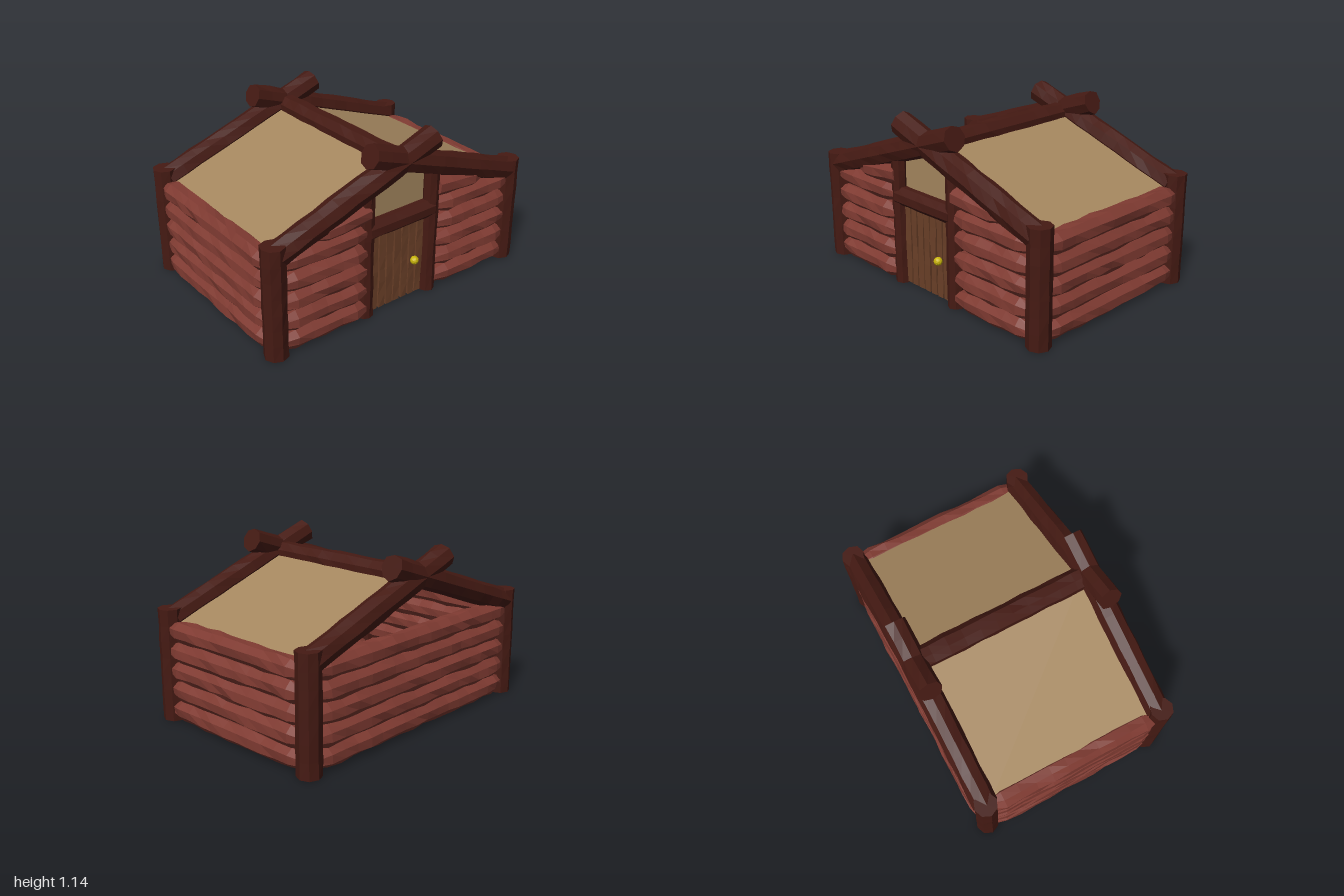
import * as THREE from 'three';

const mat = (color, side = THREE.FrontSide) =>
  new THREE.MeshStandardMaterial({ color, flatShading: true, roughness: 0.9, side });

// Repeatable noise in 0..1
const hash = (a, b, c) => {
  const s = Math.sin(a * 12.9898 + b * 78.233 + c * 37.719) * 43758.5453;
  return s - Math.floor(s);
};

export function createModel() {
  const model = new THREE.Group();
  model.name = 'logCabin';
  const red = mat(0x7e3a31), dark = mat(0x451a13), plankMat = mat(0x6b4028);
  const gapMat = mat(0x24120b), gold = mat(0xc8b40a);
  const cloth = mat(0xa5875f, THREE.DoubleSide);
  let seed = 0;

  // Eight-sided hewn log from a to b; taper0 and taper1 narrow its ends
  function log(name, a, b, r, material, { rough = 0.1, taper0 = 1, taper1 = 1, turn = 0 } = {}) {
    const start = new THREE.Vector3(...a), end = new THREE.Vector3(...b);
    const dir = end.clone().sub(start), length = dir.length();
    const rows = Math.max(4, Math.round(length / 0.11));
    const geo = new THREE.CylinderGeometry(r, r, length, 8, rows);
    const p = geo.attributes.position;
    seed++;
    for (let i = 0; i < p.count; i++) {
      const x = p.getX(i), z = p.getZ(i);
      const row = Math.round((p.getY(i) / length + 0.5) * rows);
      const side = (Math.round(Math.atan2(z, x) / (Math.PI / 4)) + 8) % 8;
      let k = 1 + rough * (0.3 - hash(side, row, seed));
      if (row === 0) k *= taper0;
      if (row === rows) k *= taper1;
      p.setXYZ(i, x * k, p.getY(i), z * k);
    }
    geo.rotateY(turn);
    geo.computeVertexNormals();
    const mesh = new THREE.Mesh(geo, material);
    mesh.name = name;
    mesh.position.copy(start).add(end).multiplyScalar(0.5);
    mesh.quaternion.setFromUnitVectors(new THREE.Vector3(0, 1, 0), dir.normalize());
    model.add(mesh);
  }

  const flat = Math.PI / 8;
  const wallOpts = { rough: 0.2, taper0: 0.6, taper1: 0.6, turn: flat };

  // Stacked wall logs on all four sides, with a door gap on the +x side
  for (let i = 0; i < 5; i++) {
    const y = 0.076 + i * 0.13;
    for (const s of [-1, 1]) {
      log('eaveWallLog', [-0.61, y, s * 0.919], [0.61, y, s * 0.919], 0.073, red, wallOpts);
      log('doorWallLog', [0.612, y, s * 0.27], [0.612, y, s * 0.91], 0.073, red, wallOpts);
    }
    log('backWallLog', [-0.612, y, -0.91], [-0.612, y, 0.91], 0.073, red, wallOpts);
  }
  for (const s of [-1, 1]) {
    log('gableLog', [0.612, 0.725, s * 0.27], [0.612, 0.69, s * 0.68], 0.07, red,
      { rough: 0.15, taper1: 0.4, turn: flat });
  }

  // Corner posts
  for (const sx of [-1, 1]) for (const sz of [-1, 1]) {
    log('cornerPost', [sx * 0.615, 0, sz * 0.925], [sx * 0.615, 0.73, sz * 0.925], 0.076, dark, { rough: 0.07 });
  }

  // Crossed rafters at each end and the ridge log
  for (const sx of [-1, 1]) for (const sz of [-1, 1]) {
    log('rafter', [sx * 0.61, 0.655, sz * 0.91], [sx * 0.61, 1.062, sz * -0.245], 0.08, dark, { rough: 0.1 });
  }
  log('ridgeLog', [-0.6, 0.95, 0], [0.6, 0.95, 0], 0.08, dark, { rough: 0.1, turn: flat });

  // Roof sheets
  for (const turn of [0, Math.PI]) {
    const half = new THREE.Group();
    half.name = 'roofSide';
    const sheet = new THREE.Mesh(new THREE.PlaneGeometry(1.12, Math.hypot(0.9, 0.315)), cloth);
    sheet.name = 'roofSheet';
    sheet.rotation.x = -(Math.PI / 2 - Math.atan2(0.315, 0.9));
    sheet.position.set(0, 0.8075, 0.45);
    half.add(sheet);
    half.rotation.y = turn;
    model.add(half);
  }

  // Door frame
  log('doorPost', [0.615, 0, 0.272], [0.615, 0.87, 0.272], 0.052, dark);
  log('doorPost', [0.615, 0, -0.24], [0.615, 0.88, -0.24], 0.054, dark);
  log('doorLintel', [0.612, 0.592, -0.24], [0.612, 0.592, 0.27], 0.066, dark, { turn: flat });

  // Door: rough planks over a dark backing board
  const door = new THREE.Group();
  door.name = 'door';
  const backing = new THREE.Mesh(new THREE.BoxGeometry(0.02, 0.54, 0.43), gapMat);
  backing.name = 'doorBacking';
  backing.position.set(0.59, 0.28, 0.02);
  door.add(backing);
  const planks = 7, step = 0.42 / planks;
  for (let n = 0; n < planks; n++) {
    const geo = new THREE.BoxGeometry(0.045, 0.535, step * 0.97, 1, 6, 1);
    const p = geo.attributes.position;
    for (let i = 0; i < p.count; i++) {
      const row = Math.round((p.getY(i) / 0.535 + 0.5) * 6);
      const edge = Math.sign(p.getZ(i));
      p.setZ(i, p.getZ(i) * (1 - 0.3 * hash(row, edge, n)));
      p.setX(i, p.getX(i) * (1 - 0.2 * hash(row, edge + 5, n)));
    }
    geo.computeVertexNormals();
    const plank = new THREE.Mesh(geo, plankMat);
    plank.name = 'doorPlank';
    plank.position.set(0.6, 0.277, -0.19 + step * (n + 0.5));
    door.add(plank);
  }
  const knob = new THREE.Mesh(new THREE.IcosahedronGeometry(0.028, 1), gold);
  knob.name = 'doorKnob';
  knob.position.set(0.64, 0.262, -0.107);
  door.add(knob);
  model.add(door);

  // Gable pane above the door
  const outline = new THREE.Shape([
    [-0.22, 0.62], [0.25, 0.62], [0.25, 0.84], [0, 0.93], [-0.22, 0.85],
  ].map(([z, y]) => new THREE.Vector2(z, y)));
  const pane = new THREE.Mesh(new THREE.ShapeGeometry(outline).rotateY(-Math.PI / 2), cloth);
  pane.name = 'gablePane';
  pane.position.x = 0.6;
  model.add(pane);

  return model;
}
